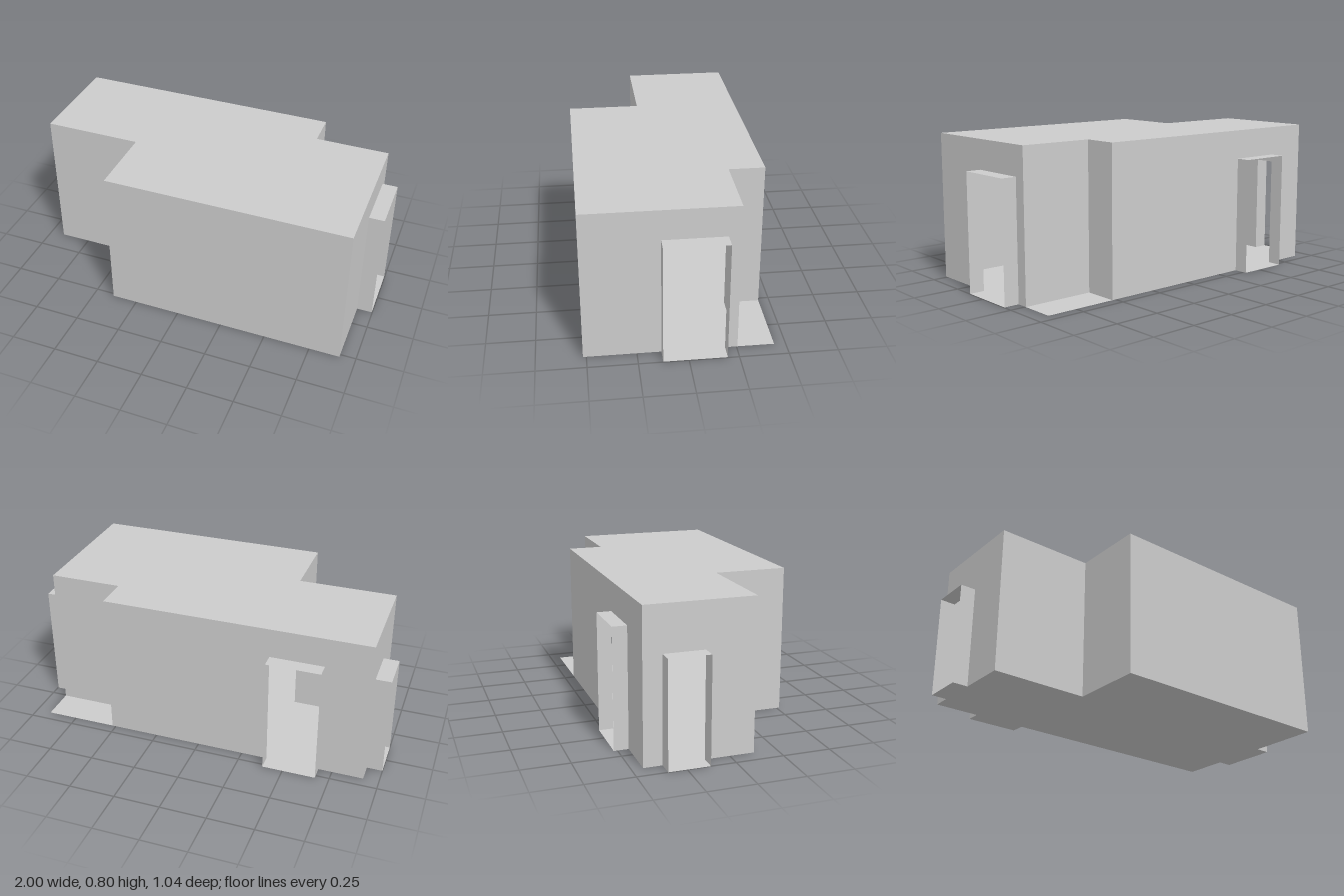
import * as THREE from 'three';

const HEIGHT = 0.795;
const material = new THREE.MeshStandardMaterial({ color: 0xcccccc, side: THREE.DoubleSide, flatShading: true });

function addMesh(parent, name, geometry) {
  const mesh = new THREE.Mesh(geometry, material);
  mesh.name = name;
  parent.add(mesh);
  return mesh;
}

// Horizontal slab from [x, z] corners
function slab(corners) {
  const shape = new THREE.Shape(corners.map(([x, z]) => new THREE.Vector2(x, -z)));
  return new THREE.ShapeGeometry(shape).rotateX(-Math.PI / 2);
}

// Open passage standing out from a wall: two jambs, lintel and threshold
function addDoorway(wall, { from, to, height, depth }) {
  const doorway = new THREE.Group();
  doorway.name = 'doorway';
  const width = to - from, middle = (from + to) / 2;
  for (const [name, u, turn] of [['leftJamb', from, -1], ['rightJamb', to, 1]]) {
    addMesh(doorway, name, new THREE.PlaneGeometry(depth, height)
      .rotateY(turn * Math.PI / 2).translate(u, height / 2, depth / 2));
  }
  for (const [name, y] of [['lintel', height], ['threshold', 0]]) {
    addMesh(doorway, name, new THREE.PlaneGeometry(width, depth)
      .rotateX(-Math.PI / 2).translate(middle, y, depth / 2));
  }
  wall.add(doorway);
}

// Thin wall between two plan corners, cut out where a door stands
function makeWall(name, [ax, az], [bx, bz], door) {
  const wall = new THREE.Group();
  wall.name = name;
  const length = Math.hypot(bx - ax, bz - az);
  const shape = new THREE.Shape().moveTo(0, 0);
  if (door) {
    shape.lineTo(door.from, 0).lineTo(door.from, door.height);
    shape.lineTo(door.to, door.height).lineTo(door.to, 0);
    addDoorway(wall, door);
  }
  shape.lineTo(length, 0).lineTo(length, HEIGHT).lineTo(0, HEIGHT);
  addMesh(wall, name + 'Panel', new THREE.ShapeGeometry(shape));
  wall.position.set(ax, 0, az);
  wall.rotation.y = -Math.atan2(bz - az, bx - ax);
  return wall;
}

export function createModel() {
  const room = new THREE.Group();
  room.name = 'room';

  // Plan of the walls, anticlockwise seen from above
  const plan = [
    [-0.39, 0.517], [0.915, 0.517], [0.915, -0.255], [0.52, -0.255],
    [0.52, -0.442], [-0.917, -0.442], [-0.917, 0.128], [-0.39, 0.128],
  ];
  const names = ['frontWall', 'leftWall', 'alcoveBackWall', 'alcoveSideWall',
    'backWall', 'rightWall', 'recessFrontWall', 'recessSideWall'];
  // Doors, measured along their wall
  const doors = {
    leftWall: { from: 0.389, to: 0.709, height: 0.637, depth: 0.082 },
    backWall: { from: 0.91, to: 1.197, height: 0.637, depth: 0.077 },
    rightWall: { from: 0.097, to: 0.312, height: 0.555, depth: 0.083 },
  };
  names.forEach((name, i) => {
    room.add(makeWall(name, plan[i], plan[(i + 1) % plan.length], doors[name]));
  });

  // The floor runs on under the open alcove, the roof does not
  addMesh(room, 'roof', slab(plan)).position.y = HEIGHT;
  addMesh(room, 'floor', slab([plan[0], plan[1], [0.915, -0.442], ...plan.slice(5)]));
  return room;
}
